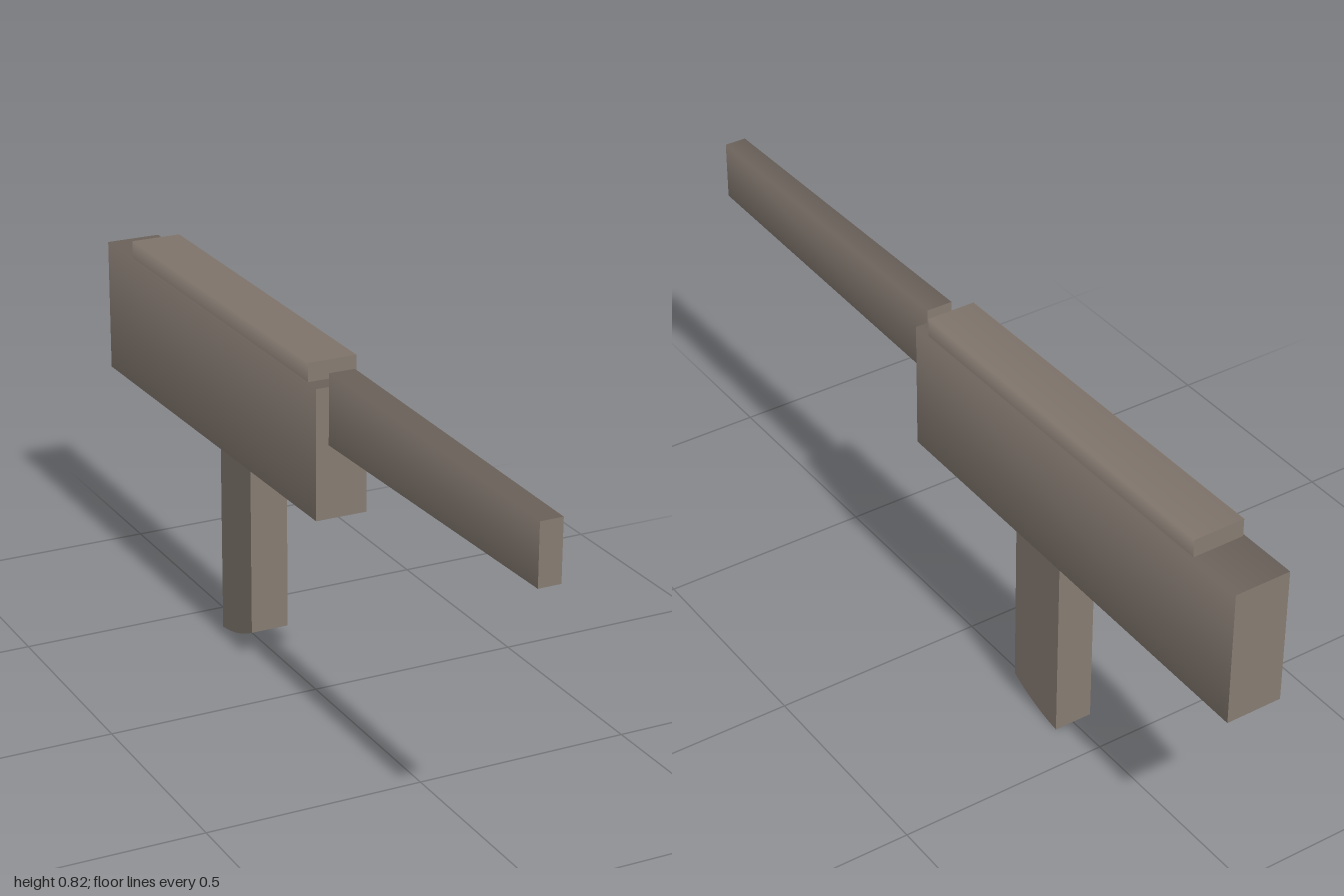
import * as THREE from 'three';

const material = new THREE.MeshStandardMaterial({ color: 0x867b72, roughness: 0.8 });

// Four-sided, smooth-shaded bar along z; each end is { z, w (half width), y0, y1 }.
function taperedBar(name, back, front) {
  const geo = new THREE.CylinderGeometry(Math.SQRT1_2, Math.SQRT1_2, 1, 4, 1, false, Math.PI / 4);
  geo.rotateX(Math.PI / 2);
  // Scaling first gives the normals the right proportions
  geo.scale(back.w + front.w, (back.y1 - back.y0 + front.y1 - front.y0) / 2, front.z - back.z);
  geo.computeBoundingBox();
  const size = geo.boundingBox.getSize(new THREE.Vector3());
  const pos = geo.attributes.position;
  for (let i = 0; i < pos.count; i++) {
    const end = pos.getZ(i) > 0 ? front : back;
    const u = pos.getX(i) / size.x, v = pos.getY(i) / size.y + 0.5;
    pos.setXYZ(i, u * 2 * end.w, end.y0 + v * (end.y1 - end.y0), end.z);
  }
  const mesh = new THREE.Mesh(geo, material);
  mesh.name = name;
  return mesh;
}

// Upright grip with a curved sole, extruded across the width
function makeGrip() {
  const halfWidth = 0.046;
  const shape = new THREE.Shape();
  // Shape x is -z
  shape.moveTo(0.24, 0.5);
  shape.lineTo(0.24, 0.05);
  shape.quadraticCurveTo(0.32, 0.008, 0.4, 0);
  shape.lineTo(0.4, 0.5);
  shape.closePath();
  const geo = new THREE.ExtrudeGeometry(shape, { depth: 2 * halfWidth, bevelEnabled: false, curveSegments: 8 });
  geo.translate(0, 0, -halfWidth);
  geo.rotateY(Math.PI / 2);
  const mesh = new THREE.Mesh(geo, material);
  mesh.name = 'grip';
  return mesh;
}

export function createModel() {
  const model = new THREE.Group();
  model.name = 'toyBlaster';
  model.add(
    taperedBar('body',
      { z: -1, w: 0.066, y0: 0.462, y1: 0.783 },
      { z: 0.125, w: 0.061, y0: 0.471, y1: 0.775 }),
    taperedBar('topRail',
      { z: -0.86, w: 0.061, y0: 0.73, y1: 0.824 },
      { z: 0.08, w: 0.058, y0: 0.73, y1: 0.819 }),
    taperedBar('barrel',
      { z: 0.125, w: 0.031, y0: 0.642, y1: 0.806 },
      { z: 1, w: 0.026, y0: 0.656, y1: 0.795 }),
    makeGrip()
  );
  return model;
}
